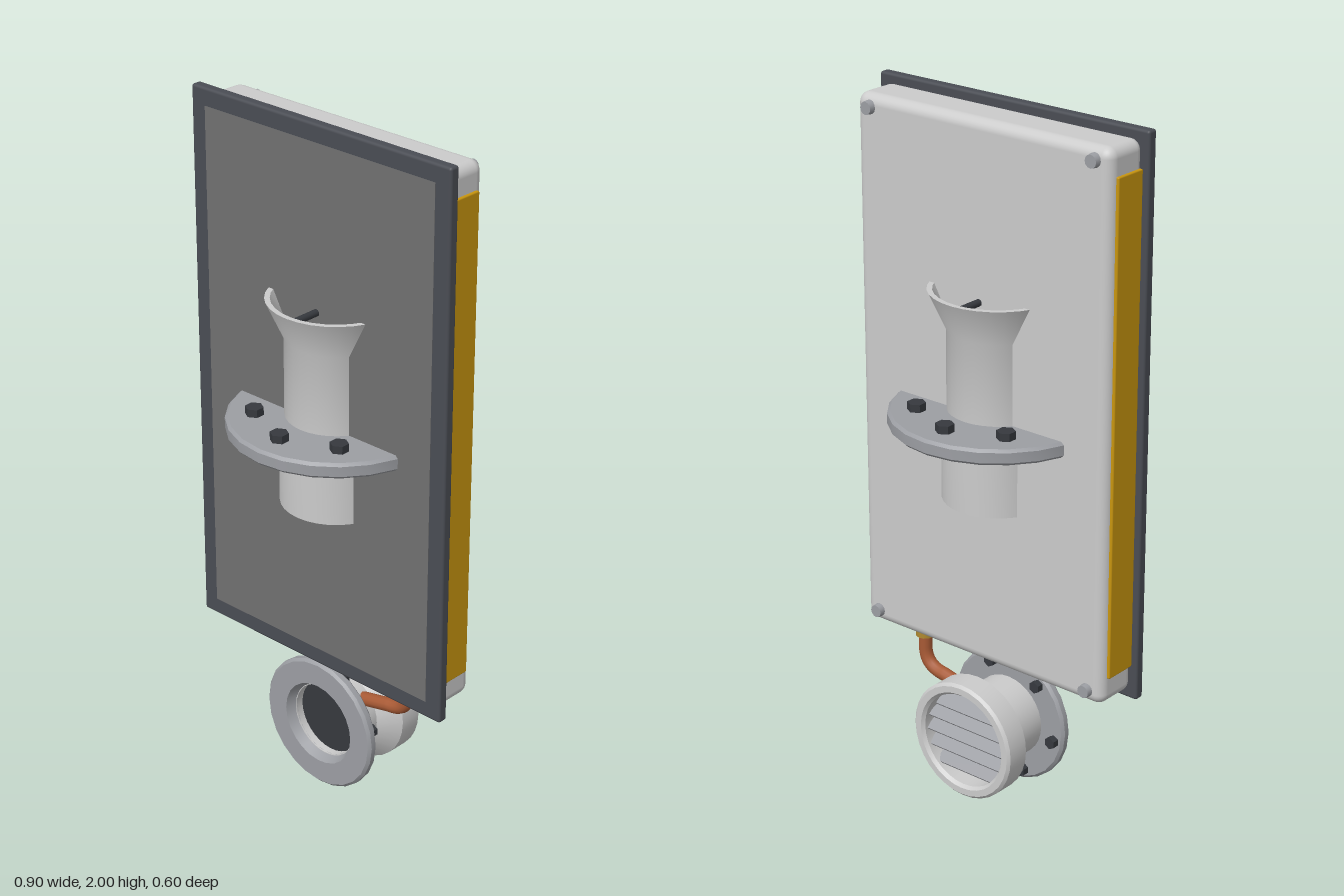
import * as THREE from 'three';
import { RoundedBoxGeometry } from 'three/addons/geometries/RoundedBoxGeometry.js';
import { toCreasedNormals } from 'three/addons/utils/BufferGeometryUtils.js';

const mat = (color) => new THREE.MeshStandardMaterial({ color });
const casing = mat(0xcccccc);
const flangeGrey = mat(0x9c9ea3);
const frameDark = mat(0x4a4d54);
const screenGrey = mat(0x707070);
const boltDark = mat(0x36393e);
const yellow = mat(0xc9960f);
const copper = mat(0xa85a35);
const brass = mat(0xb08a30);

export function createModel() {
  const model = new THREE.Group();

  const add = (name, geometry, material, x = 0, y = 0, z = 0, parent = model) => {
    const mesh = new THREE.Mesh(geometry, material);
    mesh.name = name;
    mesh.position.set(x, y, z);
    parent.add(mesh);
    return mesh;
  };
  const lathe = (points, sides) => toCreasedNormals(
    new THREE.LatheGeometry(points.map(([r, h]) => new THREE.Vector2(r, h)), sides), 0.5);
  const hexBolt = (r, h) => toCreasedNormals(new THREE.CylinderGeometry(r, r, h, 6), 0.5);

  // Upright panel: casing, front frame, front plate
  add('casing', new RoundedBoxGeometry(0.85, 1.555, 0.14, 4, 0.03), casing, 0, 1.198, -0.01);
  add('frontFrame', new RoundedBoxGeometry(0.9, 1.6, 0.031, 2, 0.008), frameDark, 0, 1.2, 0.06);
  add('frontPlate', new THREE.BoxGeometry(0.8, 1.5, 0.004), screenGrey, 0, 1.2, 0.0745);

  // Side strips and casing screws
  for (const side of [-1, 1]) {
    add('sideStrip', new RoundedBoxGeometry(0.02, 1.4, 0.1, 1, 0.004), yellow, side * 0.423, 1.2, -0.005);
    for (const y of [0.46, 1.94]) {
      const screw = add('casingScrew', new THREE.CylinderGeometry(0.018, 0.02, 0.02, 12), flangeGrey,
        side * 0.375, y, -0.087);
      screw.rotation.x = -Math.PI / 2;
    }
  }

  // Vertical pipe through the panel, with a flared mouth
  add('verticalPipe', lathe([
    [0, 0.9], [0.155, 0.9], [0.155, 1.13], [0.14, 1.13], [0.14, 1.39], [0.19, 1.5],
    [0.175, 1.5], [0.12, 1.39], [0.12, 0.92], [0, 0.92],
  ], 32), casing);
  add('pipeFlange', lathe([
    [0.13, 1.115], [0.292, 1.115], [0.3, 1.123], [0.3, 1.152], [0.292, 1.16], [0.13, 1.16],
  ], 24), flangeGrey);
  for (let i = 0; i < 8; i++) {
    const a = i * Math.PI / 4;
    add('flangeBolt', hexBolt(0.026, 0.025), boltDark, 0.22 * Math.sin(a), 1.17, 0.22 * Math.cos(a));
  }
  const bar = add('mouthBar', new THREE.CylinderGeometry(0.01, 0.01, 0.34, 12), boltDark, 0, 1.48, 0);
  bar.rotation.x = Math.PI / 2;

  // Vent below the panel: built upright, then turned so its top faces the back
  const vent = new THREE.Group();
  vent.name = 'vent';
  vent.position.y = 0.2;
  vent.rotation.x = -Math.PI / 2;
  model.add(vent);
  add('ventFlange', lathe([
    [0.125, -0.077], [0.192, -0.077], [0.2, -0.069], [0.2, -0.053], [0.192, -0.045],
    [0.11, -0.045], [0.125, -0.077],
  ], 24), flangeGrey, 0, 0, 0, vent);
  add('ventBody', lathe([
    [0.11, -0.05], [0.12, -0.05], [0.12, 0.04], [0.175, 0.09], [0.175, 0.157], [0.167, 0.165],
    [0.148, 0.165], [0.14, 0.155], [0.14, 0.09], [0.11, 0.04], [0.11, -0.05],
  ], 32), casing, 0, 0, 0, vent);
  add('ventScreen', new THREE.CylinderGeometry(0.113, 0.113, 0.01, 24), boltDark, 0, -0.02, 0, vent);
  for (let i = 0; i < 6; i++) {
    const a = (i * 60 - 10) * Math.PI / 180;
    add('ventBolt', hexBolt(0.018, 0.022), boltDark,
      0.168 * Math.cos(a), -0.036, -0.168 * Math.sin(a), vent);
  }

  // Tilted louvre slats in the back of the vent
  for (let i = -2; i <= 2; i++) {
    const y = i * 0.046;
    const slat = add('louvreSlat',
      new THREE.BoxGeometry(2 * Math.sqrt(0.14 ** 2 - y ** 2), 0.007, 0.05), flangeGrey, 0, 0.2 + y, -0.125);
    slat.rotation.x = -0.65;
  }

  // Copper line from the casing to the vent
  const path = new THREE.CurvePath();
  const p = (x, y) => new THREE.Vector3(x, y, -0.025);
  path.add(new THREE.LineCurve3(p(0.25, 0.43), p(0.25, 0.36)));
  path.add(new THREE.QuadraticBezierCurve3(p(0.25, 0.36), p(0.248, 0.3), p(0.18, 0.295)));
  path.add(new THREE.LineCurve3(p(0.18, 0.295), p(0.07, 0.27)));
  add('copperLine', new THREE.TubeGeometry(path, 32, 0.02, 12), copper);
  add('lineCollar', new THREE.CylinderGeometry(0.028, 0.028, 0.03, 12), brass, 0.25, 0.414, -0.025);

  return model;
}
